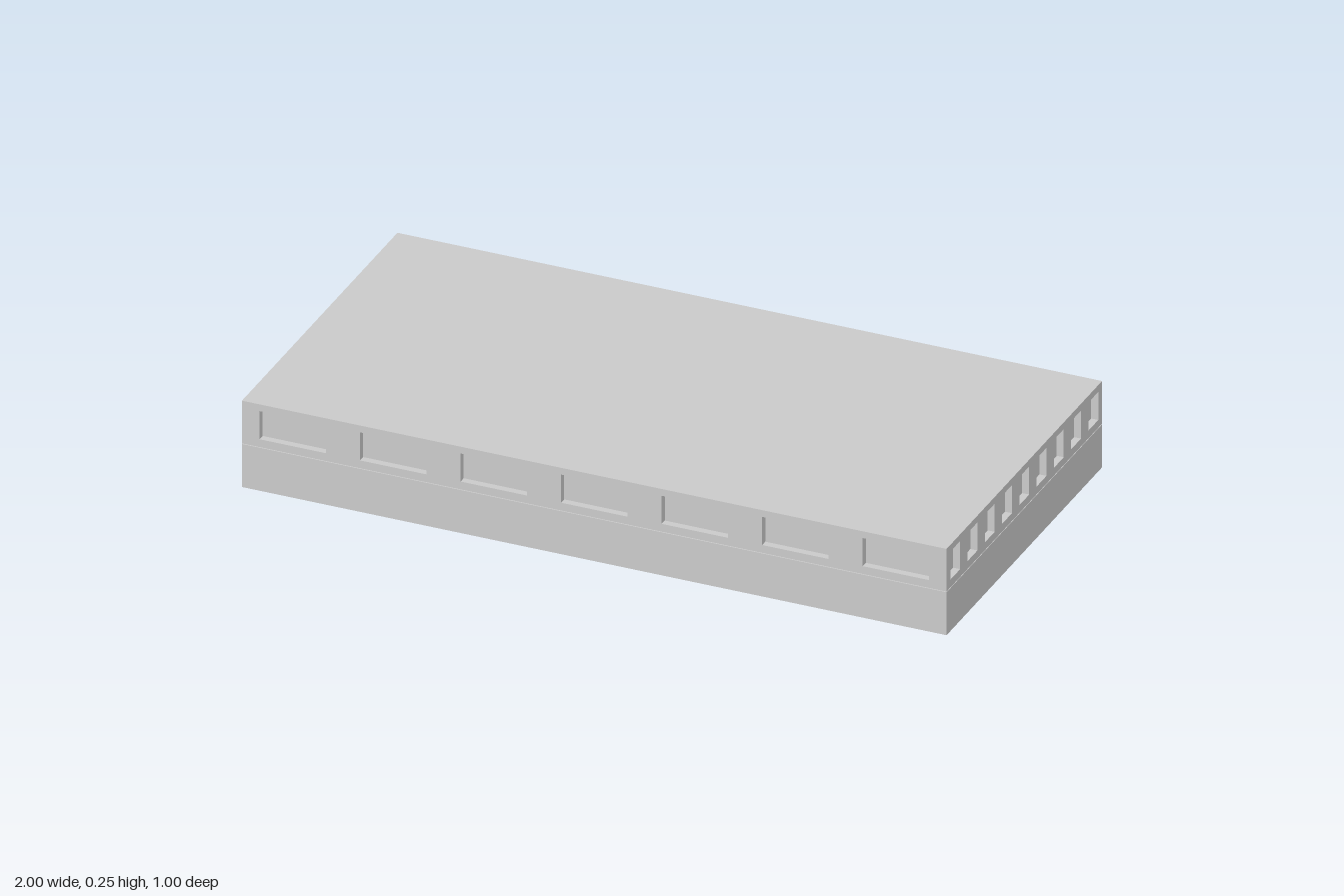
import * as THREE from 'three';

const LENGTH = 2, DEPTH = 1, TOP = 0.255;
const BASE_TOP = 0.127, UPPER_BOTTOM = 0.129;
const WALL = 0.02;                  // wall thickness, also the window recess
const SILL = 0.152, HEAD = 0.235;

const material = new THREE.MeshStandardMaterial({ color: 0xcccccc, flatShading: true });

function addBox(group, name, w, d, y0, y1) {
  const mesh = new THREE.Mesh(new THREE.BoxGeometry(w, y1 - y0, d), material);
  mesh.position.y = (y0 + y1) / 2;
  mesh.name = name;
  group.add(mesh);
}

function rectangle(path, x0, x1, y0, y1) {
  path.moveTo(x0, y0);
  path.lineTo(x1, y0);
  path.lineTo(x1, y1);
  path.lineTo(x0, y1);
  path.closePath();
  return path;
}

// Wall plate with a row of evenly spaced window openings
function wallGeometry(width, count, spacing, windowWidth) {
  const shape = rectangle(new THREE.Shape(), -width / 2, width / 2, UPPER_BOTTOM, TOP);
  for (let i = 0; i < count; i++) {
    const x = (i - (count - 1) / 2) * spacing;
    shape.holes.push(rectangle(new THREE.Path(), x - windowWidth / 2, x + windowWidth / 2, SILL, HEAD));
  }
  return new THREE.ExtrudeGeometry(shape, { depth: WALL, bevelEnabled: false });
}

export function createModel() {
  const model = new THREE.Group();
  model.name = 'building';

  // Plain lower storey, thin joint and core behind the windows
  addBox(model, 'lowerStorey', LENGTH, DEPTH, 0, BASE_TOP);
  addBox(model, 'joint', LENGTH - 0.01, DEPTH - 0.01, BASE_TOP, UPPER_BOTTOM);
  addBox(model, 'upperCore', LENGTH - 2 * WALL, DEPTH - 2 * WALL, UPPER_BOTTOM, TOP);

  // Windowed walls of the upper storey, in matching opposite pairs
  const longWall = wallGeometry(LENGTH, 7, 0.2853, 0.188);
  const shortWall = wallGeometry(DEPTH - 2 * WALL, 9, 0.111, 0.063);
  const names = ['frontWall', 'leftWall', 'backWall', 'rightWall'];
  names.forEach((name, i) => {
    const isLong = i % 2 === 0;
    const wall = new THREE.Mesh(isLong ? longWall : shortWall, material);
    const angle = i * Math.PI / 2;
    const distance = (isLong ? DEPTH : LENGTH) / 2 - WALL;
    wall.rotation.y = angle;
    wall.position.set(Math.sin(angle) * distance, 0, Math.cos(angle) * distance);
    wall.name = name;
    model.add(wall);
  });

  return model;
}
